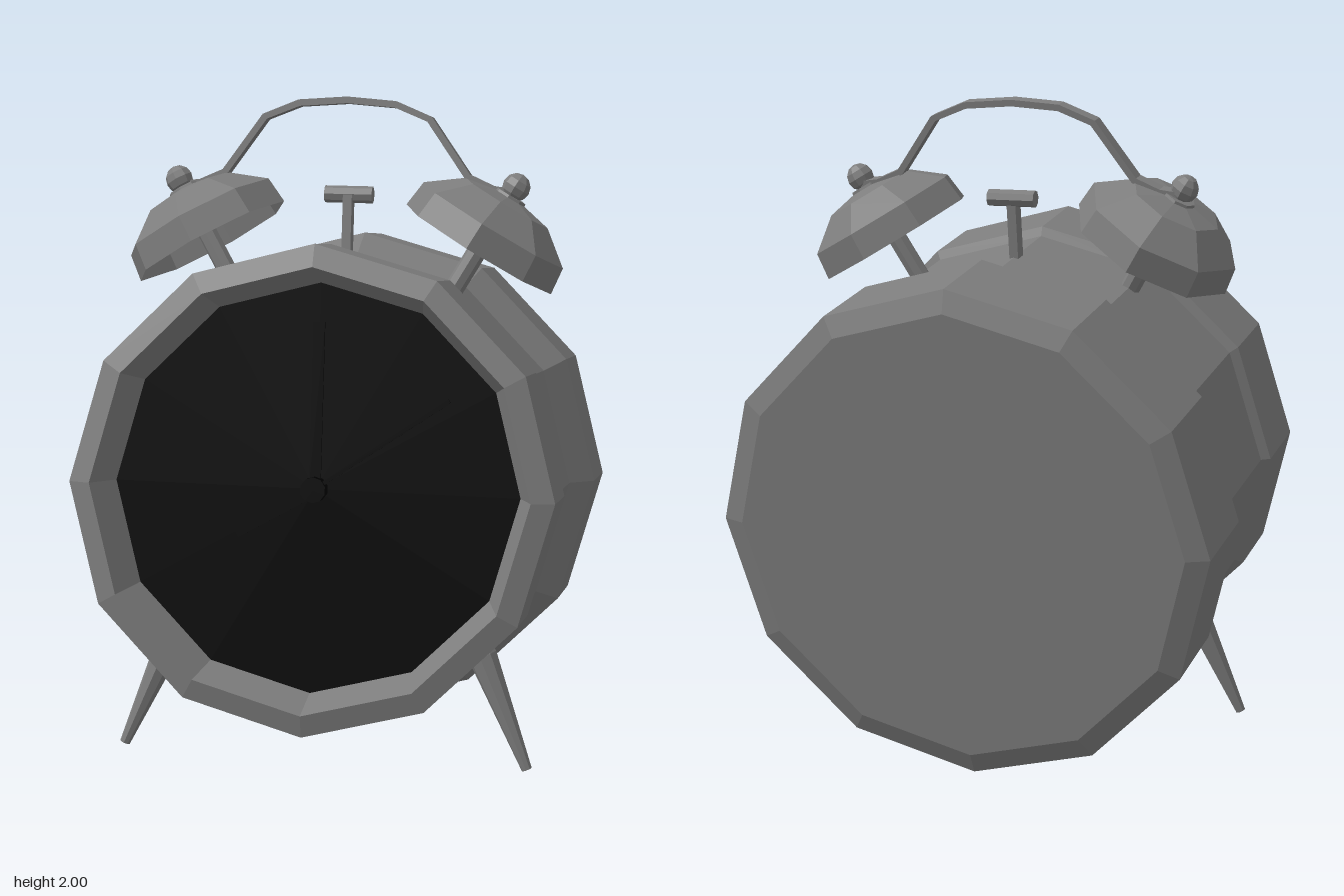
import * as THREE from 'three';

const grey = new THREE.MeshStandardMaterial({ color: 0x7d7d7d, flatShading: true, side: THREE.DoubleSide });
const black = new THREE.MeshStandardMaterial({ color: 0x000000, flatShading: true, side: THREE.DoubleSide });

function add(parent, name, geometry, material = grey) {
  const mesh = new THREE.Mesh(geometry, material);
  mesh.name = name;
  parent.add(mesh);
  return mesh;
}

const lathe = (points, sides) =>
  new THREE.LatheGeometry(points.map(([r, h]) => new THREE.Vector2(r, h)), sides);

// Tapered rod between two points
function rod(parent, name, from, to, r0, r1, sides = 8) {
  const a = new THREE.Vector3(...from), b = new THREE.Vector3(...to);
  const mesh = add(parent, name, new THREE.CylinderGeometry(r1, r0, a.distanceTo(b), sides));
  mesh.position.copy(a).add(b).multiplyScalar(0.5);
  mesh.quaternion.setFromUnitVectors(new THREE.Vector3(0, 1, 0), b.sub(a).normalize());
}

// Flat strip following a polyline, given depth along z
function strip(points, thickness, depth) {
  const p = points.map(([x, y]) => new THREE.Vector2(x, y));
  const side = (s) => p.map((q, i) => {
    const t = p[Math.min(i + 1, p.length - 1)].clone().sub(p[Math.max(i - 1, 0)]).normalize();
    return new THREE.Vector2(q.x - t.y * s, q.y + t.x * s);
  });
  const outline = new THREE.Shape([...side(thickness / 2), ...side(-thickness / 2).reverse()]);
  return new THREE.ExtrudeGeometry(outline, { depth, bevelEnabled: false }).translate(0, 0, -depth / 2);
}

export function createModel() {
  const model = new THREE.Group();
  model.name = 'alarmClock';

  // The whole clock leans back on its legs
  const clock = new THREE.Group();
  clock.name = 'clock';
  clock.position.y = 0.832;
  clock.rotation.x = -0.15;
  model.add(clock);

  // Case: flared back drum, narrower waist, front bezel
  add(clock, 'body', lathe([[0, -0.565], [0.69, -0.565], [0.757, -0.54], [0.757, -0.235],
    [0.69, -0.125], [0.69, 0.3]], 12).rotateX(Math.PI / 2));
  add(clock, 'bezel', lathe([[0.685, 0.274], [0.717, 0.292], [0.717, 0.545], [0.65, 0.57],
    [0.605, 0.435]], 12).rotateX(Math.PI / 2));

  // Dial and hands
  add(clock, 'dial', new THREE.CircleGeometry(0.608, 12), black).position.z = 0.435;
  const hands = [['minuteHand', 0.49, 0.035, 0], ['hourHand', 0.27, 0.04, 2.09], ['secondHand', 0.48, 0.012, -0.96]];
  hands.forEach(([name, length, width, angle], i) => {
    const hand = add(clock, name, new THREE.BoxGeometry(width, length, 0.006).translate(0, length / 2, 0), black);
    hand.position.z = 0.445 + i * 0.008;
    hand.rotation.z = angle;
  });
  add(clock, 'handHub', new THREE.CylinderGeometry(0.038, 0.038, 0.04, 10).rotateX(Math.PI / 2), black)
    .position.z = 0.455;

  // Twin bells, each standing radially on a post
  for (const s of [1, -1]) {
    const bell = new THREE.Group();
    bell.name = s > 0 ? 'leftBell' : 'rightBell';
    bell.position.z = 0.105;
    bell.rotation.z = -s * Math.PI / 6;
    clock.add(bell);
    add(bell, 'bellDome', lathe([[0.258, 0.826], [0.248, 0.91], [0.145, 0.988], [0, 1.016]], 8));
    rod(bell, 'bellPost', [0, 0.66, 0], [0, 1.005, 0], 0.03, 0.03);
    rod(bell, 'bellWasher', [0, 0.995, 0], [0, 1.014, 0], 0.055, 0.05);
    add(bell, 'bellKnob', new THREE.SphereGeometry(0.043, 8, 6)).position.y = 1.043;
  }

  // Carrying handle between the bell tops
  const half = [[0.51, 0.888], [0.45, 0.896], [0.375, 0.93], [0.254, 1.1], [0.148, 1.143]];
  const arch = [...half, [0, 1.154], ...half.map(([x, y]) => [-x, y]).reverse()];
  add(clock, 'handle', strip(arch, 0.02, 0.045)).position.z = 0.096;

  // Hammer between the bells
  add(clock, 'hammerStem', new THREE.BoxGeometry(0.028, 0.21, 0.045)).position.set(0, 0.765, 0.05);
  add(clock, 'hammerHead', new THREE.CylinderGeometry(0.026, 0.026, 0.148, 8).rotateZ(Math.PI / 2))
    .position.set(0, 0.871, 0.043);

  // Splayed front legs with blunt caps
  for (const s of [1, -1]) {
    const leg = new THREE.Group();
    leg.name = s > 0 ? 'leftLeg' : 'rightLeg';
    model.add(leg);
    rod(leg, 'legShaft', [s * 0.625, 0.035, 0.33], [s * 0.48, 0.37, 0.285], 0.016, 0.045);
    rod(leg, 'legCap', [s * 0.48, 0.37, 0.285], [s * 0.463, 0.41, 0.28], 0.045, 0.037);
  }
  return model;
}
